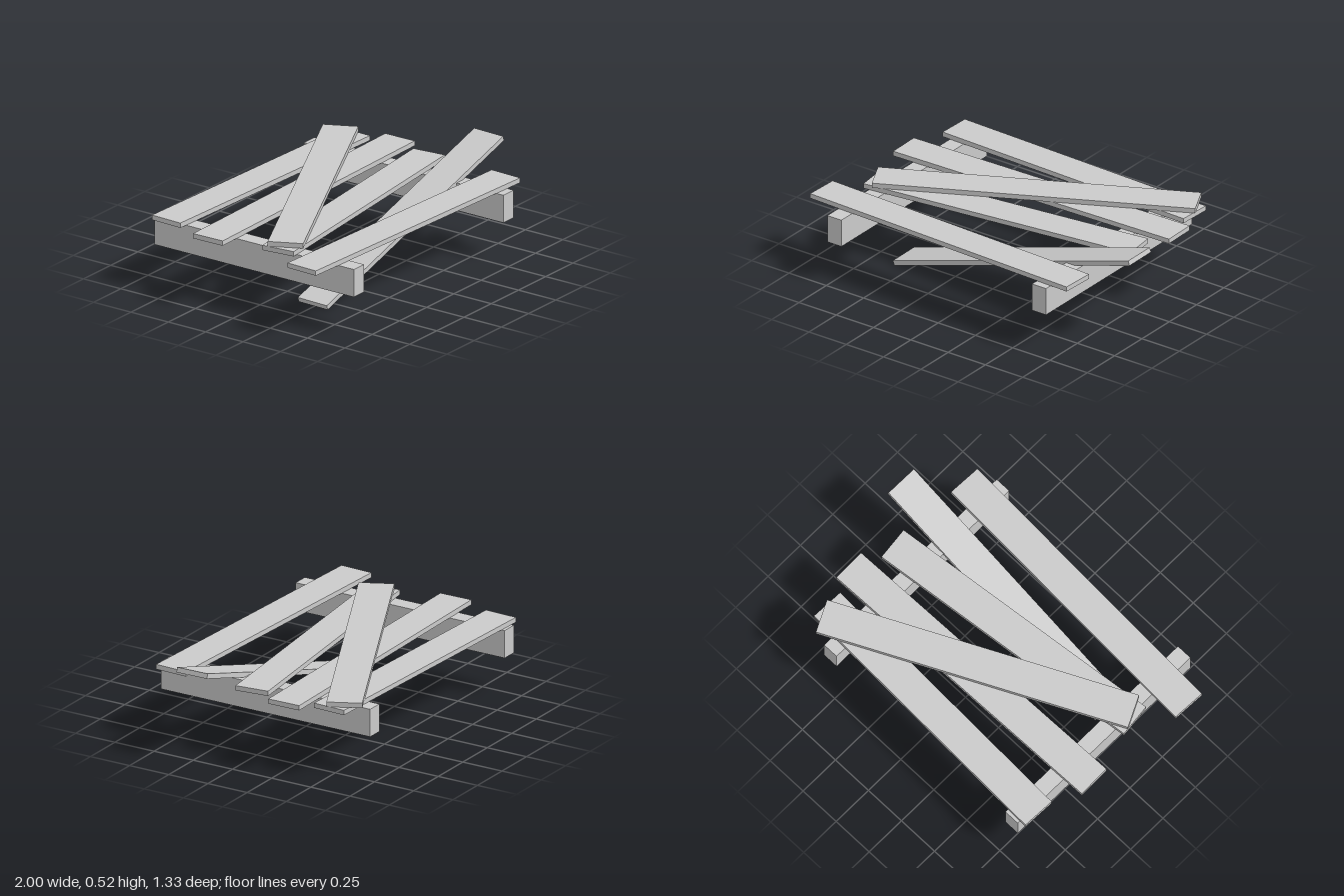
import * as THREE from 'three';

const material = new THREE.MeshStandardMaterial({ color: 0xcccccc, flatShading: true });

function addBox(group, name, size, position, rotation = [0, 0, 0]) {
  const mesh = new THREE.Mesh(new THREE.BoxGeometry(...size), material);
  mesh.name = name;
  mesh.position.set(...position);
  mesh.rotation.set(rotation[0], rotation[1], rotation[2], 'YXZ');
  group.add(mesh);
}

export function createModel() {
  const group = new THREE.Group();
  group.name = 'brokenPallet';
  const width = 0.195;
  const thickness = 0.028;

  // Two support beams running front to back
  addBox(group, 'rightBeam', [0.094, 0.16, 1.334], [-0.757, 0.295, 0]);
  addBox(group, 'leftBeam', [0.094, 0.16, 1.334], [0.615, 0.295, 0]);

  // Planks lying flat on the beams: name, length, x, z, turn
  const planks = [
    ['backPlank', 1.66, -0.022, -0.525, -0.036],
    ['secondPlank', 1.82, -0.028, -0.233, 0.022],
    ['thirdPlank', 1.66, -0.025, 0.097, 0.115],
    ['frontPlank', 1.775, -0.11, 0.495, -0.042],
  ];
  for (const [name, length, x, z, turn] of planks) {
    addBox(group, name, [length, thickness, width], [x, 0.389, z], [0, turn, 0]);
  }

  // Loose plank lying diagonally on top of the others
  addBox(group, 'diagonalPlank', [1.775, thickness, width], [-0.02, 0.418, -0.178], [0, 0.461, 0]);

  // Fallen plank, one end on the ground and one sticking up
  addBox(group, 'fallenPlank', [1.665, thickness, width], [0.197, 0.259, 0.252], [0.015, -0.008, 0.297]);

  return group;
}
